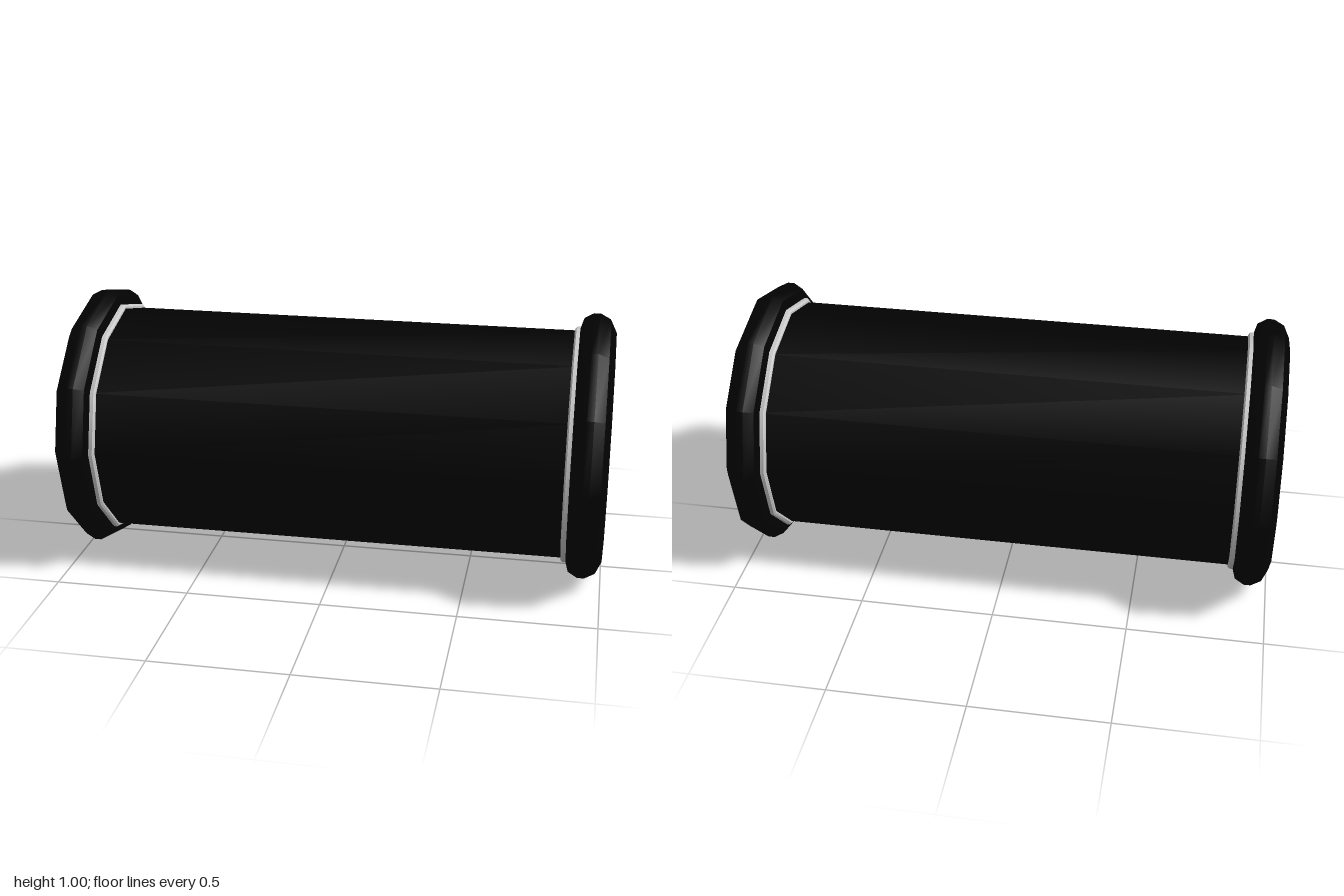
import * as THREE from 'three';
import { toCreasedNormals } from 'three/addons/utils/BufferGeometryUtils.js';

const SIDES = 12;
const black = new THREE.MeshStandardMaterial({ color: 0x020202, side: THREE.DoubleSide });
const grey = new THREE.MeshStandardMaterial({ color: 0xcccccc, side: THREE.DoubleSide });

// Turns a profile of [x along the tube, radius] around the x axis
function turned(name, profile, material) {
  const points = profile.map(([x, r]) => new THREE.Vector2(r, x));
  const geometry = new THREE.LatheGeometry(points, SIDES).rotateZ(-Math.PI / 2);
  const mesh = new THREE.Mesh(toCreasedNormals(geometry, 0.62), material);
  mesh.name = name;
  return mesh;
}

// One end of the tube, built on the +x side
function createEnd(name) {
  const end = new THREE.Group();
  end.name = name;
  end.add(
    // rounded collar: outside bulge, flat end face, recessed inside
    turned('collar', [
      [0.868, 0.37], [0.868, 0.44], [0.88, 0.48], [0.915, 0.5], [0.94, 0.5],
      [0.978, 0.48], [1, 0.435], [1, 0.325],
    ], black),
    // pale lip lining the mouth
    turned('mouthLip', [[1, 0.325], [0.935, 0.325]], grey),
    turned('mouthGroove', [[0.935, 0.325], [0.935, 0.37], [0.885, 0.37]], black),
    // thin pale band where the collar meets the barrel
    turned('trimBand', [
      [0.85, 0.425], [0.85, 0.438], [0.856, 0.445], [0.88, 0.445],
    ], grey),
  );
  return end;
}

export function createModel() {
  const model = new THREE.Group();
  model.name = 'tube';

  // dark outer barrel and pale inner lining
  model.add(turned('barrel', [[-0.88, 0.43], [0.88, 0.43]], black));
  model.add(turned('lining', [[0.885, 0.37], [-0.885, 0.37]], grey));

  const leftEnd = createEnd('leftEnd');
  const rightEnd = createEnd('rightEnd');
  rightEnd.rotation.y = Math.PI;
  model.add(leftEnd, rightEnd);

  model.position.y = 0.5;
  const root = new THREE.Group();
  root.add(model);
  return root;
}
